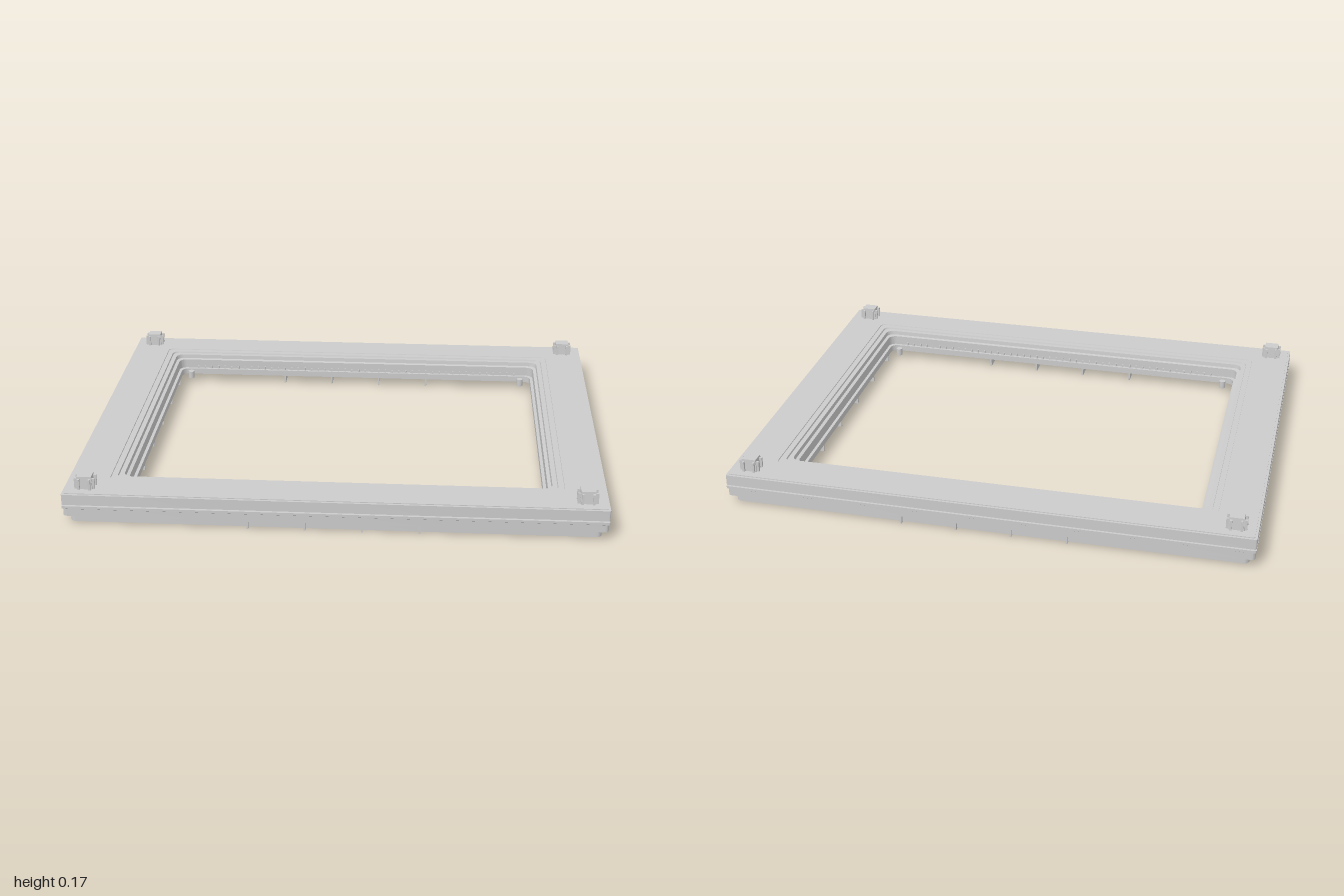
import * as THREE from 'three';
import { toCreasedNormals } from 'three/addons/utils/BufferGeometryUtils.js';

const mat = new THREE.MeshStandardMaterial({ color: 0xcccccc });

function add(parent, name, geo, x = 0, y = 0, z = 0) {
  const m = new THREE.Mesh(geo, mat);
  m.name = name;
  m.position.set(x, y, z);
  parent.add(m);
  return m;
}

// Rounded rectangle loop, 4 corners of 9 points
function ring([hx, hz, y, r]) {
  const pts = [];
  [[1, 1], [-1, 1], [-1, -1], [1, -1]].forEach(([sx, sz], q) => {
    for (let i = 0; i < 9; i++) {
      const a = (q + i / 8) * Math.PI / 2;
      pts.push([sx * (hx - r) + r * Math.cos(a), y, sz * (hz - r) + r * Math.sin(a)]);
    }
  });
  return pts;
}

// Closed cross-section carried round the rectangle
function loopFrame(profile) {
  const rings = profile.map(ring), n = rings[0].length, idx = [];
  rings.forEach((_, k) => {
    const k2 = (k + 1) % rings.length;
    for (let i = 0; i < n; i++) {
      const j = (i + 1) % n;
      const a = k * n + i, b = k * n + j, c = k2 * n + j, d = k2 * n + i;
      idx.push(a, c, b, a, d, c);
    }
  });
  const g = new THREE.BufferGeometry();
  g.setAttribute('position', new THREE.Float32BufferAttribute(rings.flat(2), 3));
  g.setIndex(idx);
  return toCreasedNormals(g, 0.25);
}

// Tapered locating peg with buttress fins
function makePeg() {
  const peg = new THREE.Group();
  peg.name = 'stackingPeg';
  const core = new THREE.BoxGeometry(0.06, 0.052, 0.05);
  const p = core.attributes.position;
  for (let i = 0; i < p.count; i++) {
    if (p.getY(i) > 0) { p.setX(i, p.getX(i) * 0.9); p.setZ(i, p.getZ(i) * 0.9); }
  }
  core.computeVertexNormals();
  add(peg, 'pegCore', core, 0, 0.148, 0);
  for (const s of [-1, 1]) {
    add(peg, 'pegFin', new THREE.BoxGeometry(0.008, 0.042, 0.066), s * 0.02, 0.145, 0);
    add(peg, 'pegFin', new THREE.BoxGeometry(0.076, 0.042, 0.008), 0, 0.145, s * 0.016);
  }
  return peg;
}

export function createModel() {
  const model = new THREE.Group();
  model.name = 'frameTray';

  // Main frame: grooved outer edge, flat top, stepped inner rim
  add(model, 'frame', loopFrame([
    [0.997, 0.782, 0.035, 0.015],
    [0.997, 0.782, 0.064, 0.015],
    [1, 0.785, 0.066, 0.006],
    [1, 0.785, 0.076, 0.006],
    [0.988, 0.773, 0.076, 0.006],
    [0.988, 0.773, 0.081, 0.006],
    [0.999, 0.784, 0.081, 0.006],
    [0.999, 0.784, 0.122, 0.006],
    [0.99, 0.775, 0.122, 0.006],
    [0.99, 0.775, 0.125, 0.006],
    [0.845, 0.65, 0.125, 0.02],
    [0.844, 0.649, 0.122, 0.02],
    [0.822, 0.627, 0.122, 0.025],
    [0.82, 0.625, 0.116, 0.025],
    [0.802, 0.607, 0.116, 0.03],
    [0.8, 0.605, 0.1, 0.03],
    [0.787, 0.592, 0.098, 0.03],
    [0.787, 0.592, 0.06, 0.03],
    [0.775, 0.58, 0.06, 0.03],
    [0.775, 0.58, 0.035, 0.03],
  ]));

  // Low skirt set in beneath the outer edge
  add(model, 'skirt', loopFrame([
    [0.975, 0.763, 0.004, 0.02],
    [0.975, 0.763, 0.037, 0.02],
    [0.967, 0.755, 0.037, 0.015],
    [0.967, 0.755, 0.004, 0.015],
  ]));

  // Small teeth along the long inner walls
  for (const s of [-1, 1]) {
    for (let i = 0; i < 48; i++) {
      add(model, 'innerTooth', new THREE.BoxGeometry(0.006, 0.012, 0.006), -0.705 + i * 0.03, 0.066, s * 0.589);
    }
  }

  // Ribs across the underside
  for (const s of [-1, 1]) {
    for (const x of [-0.315, -0.105, 0.105, 0.315]) {
      add(model, 'longSideRib', new THREE.BoxGeometry(0.007, 0.036, 0.19), x, 0.018, s * 0.68);
    }
    for (const z of [-0.53, -0.32, -0.107, 0.107, 0.32, 0.53]) {
      add(model, 'shortSideRib', new THREE.BoxGeometry(0.205, 0.036, 0.007), s * 0.883, 0.018, z);
    }
  }

  // Corners: peg above, diagonal gusset below, small pin inside the opening
  for (const sx of [-1, 1]) {
    for (const sz of [-1, 1]) {
      const peg = makePeg();
      peg.position.set(sx * 0.92, 0, sz * 0.715);
      model.add(peg);
      const gusset = add(model, 'cornerGusset', new THREE.BoxGeometry(0.17, 0.032, 0.007), sx * 0.86, 0.02, sz * 0.67);
      gusset.rotation.y = sx * sz * Math.PI / 4;
      add(model, 'cornerPin', new THREE.CylinderGeometry(0.013, 0.013, 0.03, 16), sx * 0.73, 0.05, sz * 0.54);
    }
  }
  return model;
}
